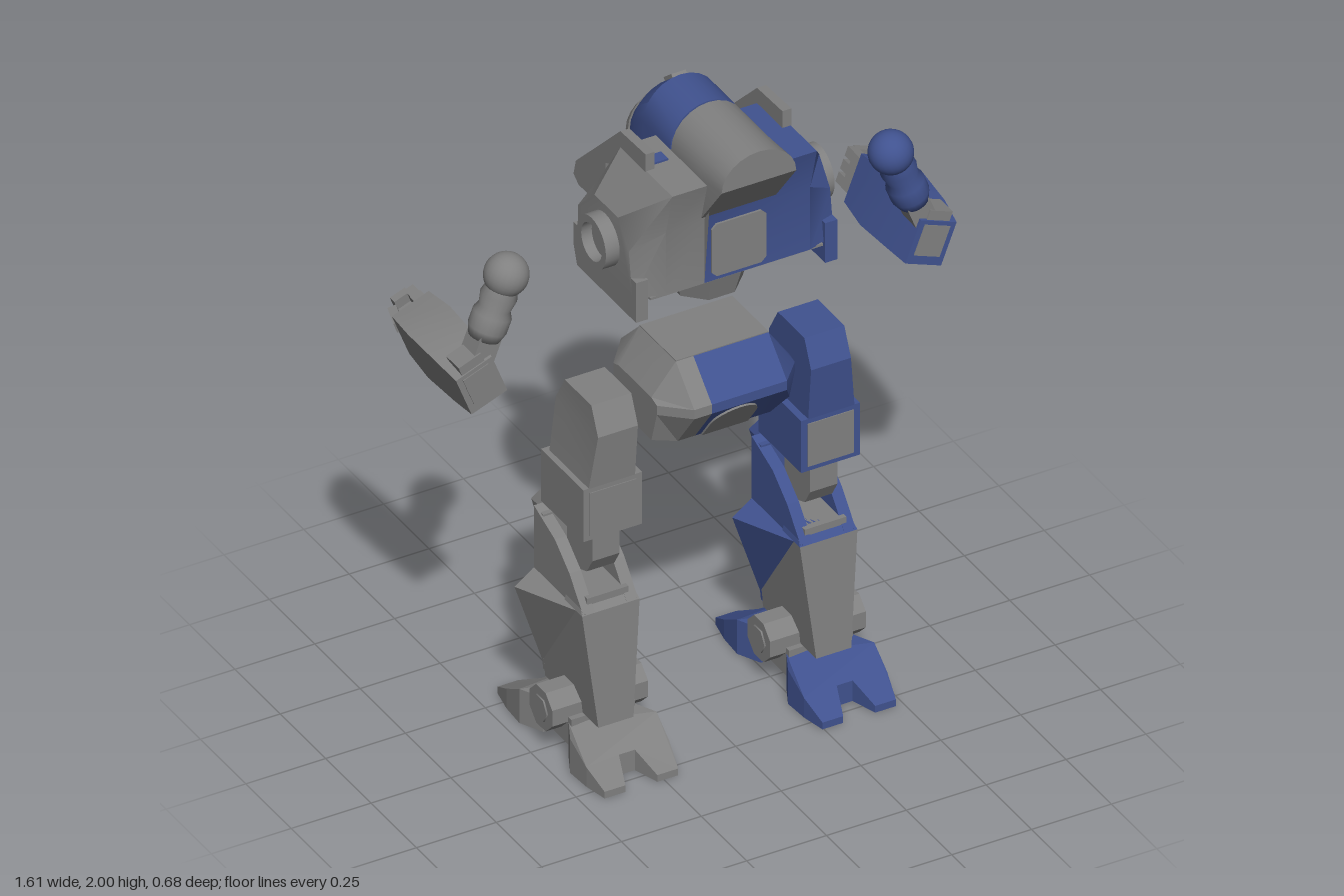
import * as THREE from 'three';
import { toCreasedNormals } from 'three/addons/utils/BufferGeometryUtils.js';

const mat = (name, color) => {
  const m = new THREE.MeshStandardMaterial({ color });
  m.name = name;
  return m;
};

export function createModel() {
  const grey = mat('grey armour', 0x808080);
  const blue = mat('blue armour', 0x40528f);
  const root = new THREE.Group();
  root.name = 'walkerRobot';
  const group = (parent, name, x = 0, y = 0, z = 0) => {
    const g = new THREE.Group();
    g.name = name;
    g.position.set(x, y, z);
    parent.add(g);
    return g;
  };
  const add = (parent, name, m, geo, x = 0, y = 0, z = 0) => {
    const mesh = new THREE.Mesh(geo, m);
    mesh.name = name;
    mesh.position.set(x, y, z);
    parent.add(mesh);
    return mesh;
  };
  const box = (p, name, m, x, y, z, w, h, d) => add(p, name, m, new THREE.BoxGeometry(w, h, d), x, y, z);

  // Skin through equal-length rings of [x, y, z], capped, always facing outward
  const loft = (p, name, m, rings) => {
    const tris = [], n = rings[0].length, last = rings.length - 1;
    const v = rings.map(r => r.map(q => new THREE.Vector3(...q)));
    const c = new THREE.Vector3();
    for (let k = 0; k < last; k++) for (let i = 0; i < n; i++) {
      const j = (i + 1) % n;
      tris.push([v[k][i], v[k][j], v[k + 1][j]], [v[k][i], v[k + 1][j], v[k + 1][i]]);
    }
    for (let i = 1; i < n - 1; i++) {
      tris.push([v[0][0], v[0][i + 1], v[0][i]], [v[last][0], v[last][i], v[last][i + 1]]);
    }
    const solid = tris.filter(t => c.subVectors(t[1], t[0]).cross(t[2].clone().sub(t[0])).length() > 1e-9);
    const volume = solid.reduce((s, t) => s + t[0].dot(c.crossVectors(t[1], t[2])), 0);
    const pts = solid.flatMap(t => (volume < 0 ? [t[0], t[2], t[1]] : t));
    const geo = new THREE.BufferGeometry().setFromPoints(pts);
    return add(p, name, m, toCreasedNormals(geo, 0.45));
  };
  // Plate with a [z, y] outline, from x0 to x1
  const prism = (p, name, m, outline, x0, x1) => {
    const s = new THREE.Shape(outline.map(([z, y]) => new THREE.Vector2(-z, y)));
    const geo = new THREE.ExtrudeGeometry(s, { depth: Math.abs(x1 - x0), bevelEnabled: false });
    return add(p, name, m, geo.rotateY(Math.PI / 2), Math.min(x0, x1));
  };
  const section = (x, zy) => zy.map(([z, y]) => [x, y, z]);
  const rectY = (y, x0, x1, z0, z1) => [[x0, y, z0], [x1, y, z0], [x1, y, z1], [x0, y, z1]];
  const rectZ = (z, w, y0, y1) => [[-w, y0, z], [w, y0, z], [w, y1, z], [-w, y1, z]];
  // Round-topped section across z
  const arch = (z, w, top, base) => {
    const r = [[-w, base, z]], spring = Math.max(base, top - w);
    for (let i = 0; i <= 12; i++) {
      const a = Math.PI * (1 - i / 12);
      r.push([w * Math.cos(a), spring + (top - spring) * Math.sin(a), z]);
    }
    return [...r, [w, base, z]];
  };

  const body = group(root, 'body', 0.02);

  // Torso hull, one colour on each side of an off-centre seam
  const torso = group(body, 'torso');
  const inner = [[0.264, 1.88], [-0.02, 1.88], [-0.13, 1.72], [-0.13, 1.535], [0.227, 1.535], [0.227, 1.74]];
  const outer = [[0.12, 1.757], [-0.01, 1.757], [-0.1, 1.67], [-0.1, 1.535], [0.2, 1.535], [0.18, 1.68]];
  loft(torso, 'greyHull', grey, [section(-0.315, outer), section(-0.226, inner), section(-0.105, inner)]);
  loft(torso, 'blueHull', blue, [section(-0.105, inner), section(0.226, inner), section(0.315, outer)]);
  box(torso, 'hullFloor', grey, 0, 1.533, 0.05, 0.54, 0.008, 0.34);
  add(torso, 'chestPanel', grey, new THREE.ExtrudeGeometry(
    new THREE.Shape([[-0.085, -0.07], [-0.07, -0.085], [0.07, -0.085], [0.085, -0.07], [0.085, 0.07],
      [0.07, 0.085], [-0.07, 0.085], [-0.085, 0.07]].map(q => new THREE.Vector2(...q))),
    { depth: 0.008, bevelEnabled: false }), 0, 1.635, 0.226);
  box(torso, 'topMark', blue, -0.175, 1.882, 0.083, 0.055, 0.008, 0.04);
  const fin = [[0.12, 1.935], [-0.02, 1.93], [-0.265, 1.69], [-0.278, 1.64], [-0.25, 1.62],
    [-0.2, 1.62], [-0.11, 1.69], [-0.1, 1.78], [0.12, 1.86]];
  for (const s of [-1, 1]) {
    const m = s > 0 ? blue : grey;
    prism(torso, 'collarFin', grey, fin, s * 0.2, s * 0.228);
    prism(torso, 'sideSkirt', m, [[0.22, 1.6], [-0.125, 1.6], [-0.125, 1.53], [-0.105, 1.47], [0.22, 1.47]],
      s * 0.277, s * 0.315);
    const socket = new THREE.LatheGeometry([[0.08, 0], [0.08, 0.045], [0.057, 0.045], [0.057, 0.012], [0, 0.012]]
      .map(q => new THREE.Vector2(...q)), 24);
    add(torso, 'shoulderSocket', grey, toCreasedNormals(socket.rotateZ(-s * Math.PI / 2), 0.5), s * 0.313, 1.65, 0.05);
  }
  const waist = new THREE.CylinderGeometry(0.145, 0.105, 0.13, 8).rotateY(Math.PI / 8).toNonIndexed();
  waist.computeVertexNormals();
  add(torso, 'waist', grey, waist, 0, 1.47, 0.04);

  // Rear drum with a slanted underside, neck ring and helmet
  loft(torso, 'drum', grey, [arch(0.343, 0.117, 2, 1.9), arch(0.22, 0.117, 2, 1.74), arch(0.065, 0.117, 2, 1.74)]);
  add(torso, 'neckRing', grey, new THREE.CylinderGeometry(0.1, 0.1, 0.12, 24).rotateX(Math.PI / 2), 0, 1.883, 0.06);
  const head = group(body, 'head');
  const keys = [[0.06, 0.117, 2, 1.75], [-0.09, 0.117, 2, 1.68], [-0.15, 0.112, 1.95, 1.62],
    [-0.205, 0.1, 1.88, 1.62], [-0.25, 0.065, 1.8, 1.66]];
  const headRing = (z, grow, base) => {
    const i = Math.max(1, keys.findIndex(k => k[0] <= z));
    const a = keys[i - 1], b = keys[i], t = (z - a[0]) / (b[0] - a[0]);
    return arch(z, a[1] + (b[1] - a[1]) * t + grow, a[2] + (b[2] - a[2]) * t + grow, base);
  };
  loft(head, 'helmet', blue, keys.map(k => arch(...k)));
  loft(head, 'visor', grey, [headRing(-0.185, 0.006, 1.8), headRing(-0.205, 0.006, 1.79), headRing(-0.222, 0.006, 1.77)]);
  box(head, 'foreheadSlot', grey, 0, 1.98, -0.118, 0.045, 0.012, 0.055).rotation.x = -0.69;
  box(head, 'mouthGuard', blue, 0, 1.7, -0.24, 0.15, 0.05, 0.04);
  for (const s of [-1, 1]) {
    box(head, 'mouthVent', grey, s * 0.06, 1.71, -0.255, 0.03, 0.04, 0.03);
  }
  add(head, 'chin', grey, new THREE.CylinderGeometry(0.045, 0.045, 0.1, 16), 0, 1.585, -0.185);

  // Hips: faceted lens with the same off-centre seam
  const hips = group(body, 'hips');
  const lens = (x, top, zt, mid, zm, low, zl) => section(x, [[zt, top], [zm, mid], [zm, mid - 0.03], [zl, low],
    [-zl, low], [-zm, mid - 0.03], [-zm, mid], [-zt, top]].map(([z, y]) => [z + 0.04, y]));
  const mid = x => lens(x, 1.24, 0.1, 1.14, 0.202, 0.985, 0.11);
  const end = x => lens(x, 1.14, 0.09, 1.13, 0.12, 1.0, 0.09);
  loft(hips, 'greyHip', grey, [end(-0.216), mid(-0.145), mid(-0.09)]);
  loft(hips, 'blueHip', blue, [mid(-0.09), mid(0.145), end(0.216)]);
  box(hips, 'hipTop', grey, 0, 1.24, 0.04, 0.29, 0.006, 0.2);
  box(hips, 'hipFloor', grey, 0, 0.985, 0.04, 0.28, 0.006, 0.21);
  for (const d of [-1, 1]) {
    const a = (y, z) => arch(z, 0.072, 0.15, 0);
    const plate = loft(hips, 'groinArch', grey, [a(0, -0.004), a(0, 0.004)]);
    plate.position.set(0, 0.985, 0.04 + d * 0.112);
    plate.rotation.x = d * 0.635;
  }

  // Legs
  for (const s of [-1, 1]) {
    const m = s > 0 ? blue : grey;
    const leg = group(body, s > 0 ? 'leftLeg' : 'rightLeg', s * 0.341);
    const ix = -0.07 * s, ox = 0.055 * s;
    loft(leg, 'thigh', m, [rectY(1.165, ix, ox, -0.03, 0.116), rectY(1.08, ix, ox, -0.08, 0.153),
      rectY(0.91, ix, ox + 0.02 * s, -0.08, 0.137)]);
    box(leg, 'thighGuard', m, 0, 0.826, 0.02, 0.184, 0.17, 0.234);
    box(leg, 'thighPanel', grey, 0, 0.826, 0.137, 0.145, 0.14, 0.006);
    prism(leg, 'kneeLink', grey, [[0.1, 0.76], [0.1, 0.64], [0.07, 0.59], [0.03, 0.575], [-0.01, 0.59], [-0.04, 0.64],
      [-0.04, 0.76]], -0.043, 0.043);

    // Shin with flared side plates, open knee pocket and pointed knee guard
    loft(leg, 'shin', grey, [rectY(0.13, -0.055, 0.055, -0.138, 0.155), rectY(0.49, -0.09, 0.09, -0.138, 0.127)]);
    loft(leg, 'shinBack', m, [rectY(0.15, -0.057, 0.057, -0.146, -0.136), rectY(0.49, -0.091, 0.091, -0.146, -0.136)]);
    box(leg, 'pocketFloor', grey, 0, 0.505, 0, 0.13, 0.05, 0.22);
    loft(leg, 'shinLip', m, [rectY(0.49, -0.09, 0.09, 0.03, 0.127), rectY(0.53, -0.08, 0.08, 0.03, 0.09)]);
    box(leg, 'pocketBack', m, 0, 0.585, -0.125, 0.16, 0.2, 0.04);
    for (const t of [-1, 1]) {
      const tip = [t * 0.156, 0.46, -0.13];
      loft(leg, 'shinFlare', m, [[[t * 0.08, 0.495, 0.127], [t * 0.08, 0.495, -0.146], [t * 0.05, 0.15, -0.146]],
        [tip, tip, tip]]);
      prism(leg, 'kneeCheek', m, [[0.127, 0.49], [0.05, 0.585], [-0.03, 0.65], [-0.146, 0.695], [-0.146, 0.49]],
        t * 0.05, t * 0.086);
      const drum = new THREE.CylinderGeometry(0.068, 0.068, 0.1, 8).rotateY(Math.PI / 8).rotateZ(Math.PI / 2).toNonIndexed();
      drum.computeVertexNormals();
      add(leg, 'ankleDrum', grey, drum, t * 0.1, 0.14, 0.005);
      add(leg, 'ankleBolt', grey, new THREE.CylinderGeometry(0.04, 0.04, 0.008, 6).rotateZ(Math.PI / 2), t * 0.151, 0.14, 0.005);
    }
    loft(leg, 'kneeGuard', m, [rectY(0.56, -0.03, 0.03, -0.2, -0.135), rectY(0.66, -0.05, 0.05, -0.225, -0.135),
      rectY(0.745, -0.015, 0.015, -0.172, -0.155)]);
    box(leg, 'ankle', grey, 0, 0.085, 0.01, 0.2, 0.09, 0.15);

    // Two-toed foot halves, sloping down to the tips
    for (const d of [-1, 1]) {
      const half = [[0.1, 0.07], [0.135, 0.14], [0.13, 0.22], [0.115, 0.295], [0.05, 0.295], [0.025, 0.215]];
      const plan = [...half, ...half.slice().reverse().map(([x, z]) => [-x, z])];
      const geo = new THREE.ExtrudeGeometry(new THREE.Shape(plan.map(([x, z]) => new THREE.Vector2(x, -z * d))),
        { depth: 0.115, bevelEnabled: false }).rotateX(-Math.PI / 2);
      const pos = geo.attributes.position;
      for (let i = 0; i < pos.count; i++) {
        if (pos.getY(i) > 0.05) {
          const z = Math.abs(pos.getZ(i));
          pos.setY(i, z < 0.15 ? 0.112 : Math.max(0.022, 0.112 - (z - 0.14) * 0.6));
        }
      }
      geo.computeVertexNormals();
      add(leg, d > 0 ? 'frontFoot' : 'rearFoot', m, geo);
    }
  }

  // Detached arms
  for (const s of [-1, 1]) {
    const m = s > 0 ? blue : grey;
    const arm = group(root, s > 0 ? 'leftArm' : 'rightArm');
    const upper = group(arm, 'upperArm', s * 0.602, 1.63, 0.045);
    upper.rotation.z = s * 0.37;
    add(upper, 'shoulderBall', m, new THREE.SphereGeometry(0.064, 24, 16));
    add(upper, 'sleeve', m, new THREE.LatheGeometry([[0, -0.195], [0.045, -0.195], [0.056, -0.165], [0.056, -0.12],
      [0.046, -0.1], [0.053, -0.065], [0.046, -0.04], [0.046, 0]].map(q => new THREE.Vector2(...q)), 20));
    box(upper, 'elbow', grey, 0, -0.22, 0, 0.07, 0.1, 0.07);

    const fore = group(arm, 'forearm', s * 0.708, 1.335, 0);
    fore.rotation.z = -s * 0.37;
    loft(fore, 'gauntlet', m, [rectZ(0.088, 0.06, -0.08, 0.055), rectZ(0, 0.066, -0.082, 0.075),
      rectZ(-0.14, 0.07, -0.087, 0.087), rectZ(-0.25, 0.062, -0.075, 0.075)]);
    box(fore, 'gauntletInset', grey, 0, -0.005, 0.088, 0.085, 0.095, 0.006);
    box(fore, 'elbowJoint', grey, 0, 0.05, 0.05, 0.075, 0.07, 0.07);
    // Hand with curled fingers and a thumb
    box(fore, 'palm', grey, -s * 0.035, 0, -0.27, 0.035, 0.11, 0.05);
    for (let i = 0; i < 3; i++) {
      const y = -0.04 + i * 0.04;
      box(fore, 'fingerBase', grey, -s * 0.035, y, -0.305, 0.03, 0.03, 0.05);
      box(fore, 'fingerTip', grey, -s * 0.002, y, -0.325, 0.05, 0.03, 0.025);
    }
    box(fore, 'thumb', grey, s * 0.045, 0.03, -0.28, 0.025, 0.035, 0.07).rotation.y = s * 0.3;
  }
  return root;
}
